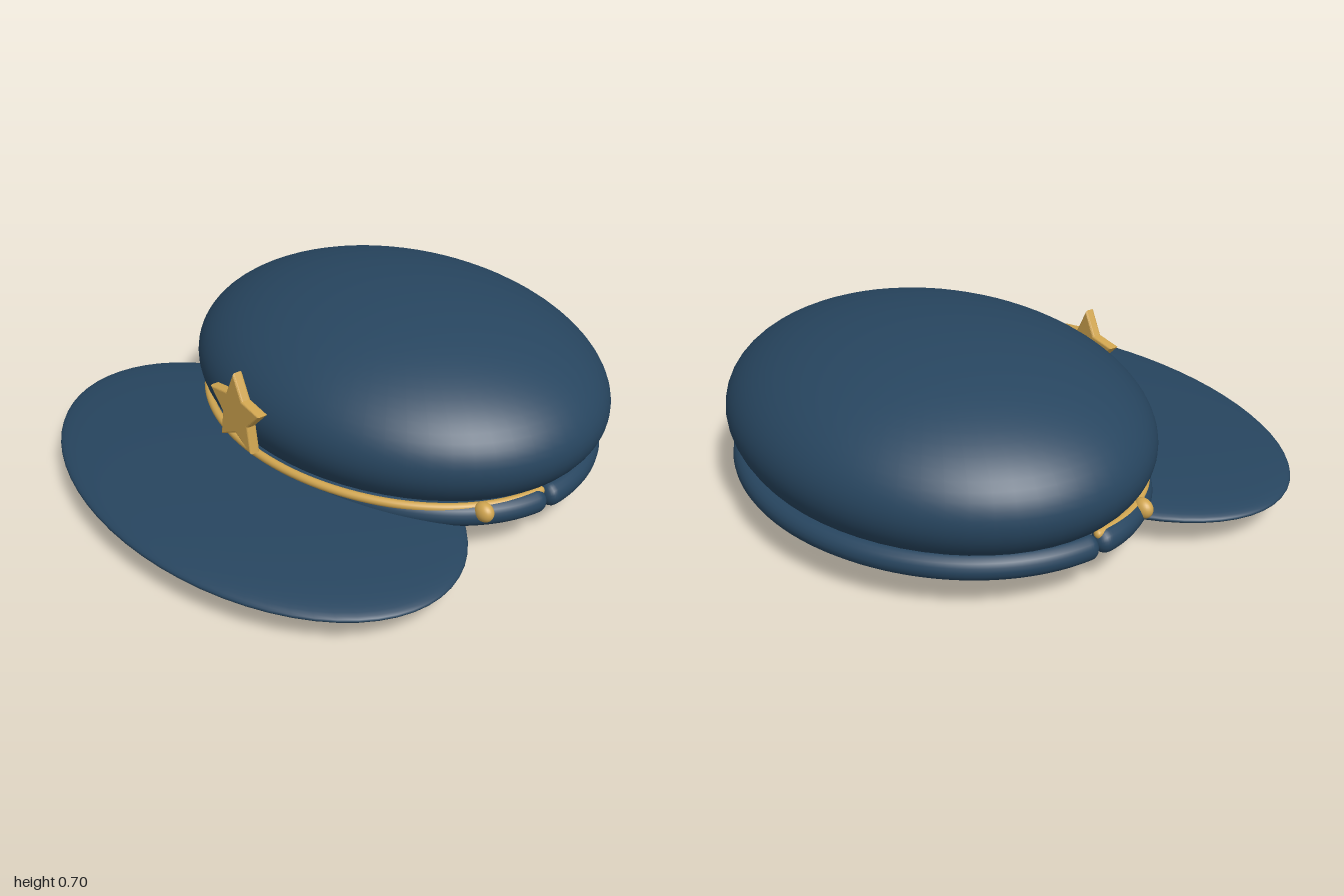
import * as THREE from 'three';

const navy = new THREE.MeshStandardMaterial({ color: 0x27455f });
navy.name = 'navy cloth';
const gold = new THREE.MeshStandardMaterial({ color: 0xd0a550 });
gold.name = 'gold trim';

function add(group, name, geometry, material) {
  const mesh = new THREE.Mesh(geometry, material);
  mesh.name = name;
  group.add(mesh);
  return mesh;
}

function ellipsoid(rx, ry, rz, x, y, z, w = 64, h = 40) {
  return new THREE.SphereGeometry(1, w, h).scale(rx, ry, rz).translate(x, y, z);
}

// Half-ellipse tube with rounded ends, swept from angle a0 to a0 + PI
function arcTube(a0, rx, rz, y, cz, r, cap) {
  const steps = 96, sides = 18, pos = [], idx = [];
  for (let i = 0; i <= steps; i++) {
    const s = Math.PI * (1 - Math.cos(Math.PI * i / steps)) / 2;
    const a = a0 + s;
    const end = Math.min(1, Math.min(s, Math.PI - s) / cap);
    const rad = r * Math.sqrt(Math.max(0, 1 - (1 - end) ** 2));
    for (let j = 0; j < sides; j++) {
      const t = 2 * Math.PI * j / sides;
      const d = rad * Math.cos(t);
      pos.push(Math.cos(a) * (rx + d), y + rad * Math.sin(t), cz + Math.sin(a) * (rz + d));
      if (i < steps) {
        const p = i * sides + j, q = i * sides + (j + 1) % sides;
        idx.push(p, q, p + sides, q, q + sides, p + sides);
      }
    }
  }
  const g = new THREE.BufferGeometry();
  g.setAttribute('position', new THREE.Float32BufferAttribute(pos, 3));
  g.setIndex(idx);
  g.computeVertexNormals();
  return g;
}

// Five-pointed star with a small rounded bevel
function starGeometry(outer, inner) {
  const points = [];
  for (let i = 0; i < 10; i++) {
    const r = i % 2 ? inner : outer;
    const a = Math.PI / 2 + i * Math.PI / 5;
    points.push(new THREE.Vector2(r * Math.cos(a), r * Math.sin(a)));
  }
  return new THREE.ExtrudeGeometry(new THREE.Shape(points), {
    depth: 0.024, bevelEnabled: true, bevelThickness: 0.008, bevelSize: 0.008, bevelSegments: 3,
  });
}

export function createModel() {
  const cap = new THREE.Group();
  cap.name = 'peakedCap';

  // Soft crown and wide flat peak
  add(cap, 'crown', ellipsoid(0.895, 0.35, 0.71, 0, 0.352, -0.29), navy);
  add(cap, 'visor', ellipsoid(0.975, 0.07, 0.585, 0, 0.127, 0.412), navy);

  // Head band in two halves meeting at the sides
  add(cap, 'frontBand', arcTube(0, 0.83, 0.6, 0.178, -0.25, 0.045, 0.07), navy);
  add(cap, 'backBand', arcTube(Math.PI, 0.83, 0.702, 0.178, -0.25, 0.046, 0.05), navy);

  // Gold strap with a button at each end
  add(cap, 'strap', arcTube(0, 0.83, 0.643, 0.209, -0.25, 0.016, 0.02), gold);
  for (const side of [-1, 1]) {
    add(cap, side > 0 ? 'leftButton' : 'rightButton',
      ellipsoid(0.04, 0.036, 0.03, side * 0.793, 0.201, 0, 24, 16), gold);
  }

  // Badge standing just ahead of the crown
  const star = add(cap, 'starBadge', starGeometry(0.148, 0.073), gold);
  star.position.set(0, 0.397, 0.44);
  return cap;
}
